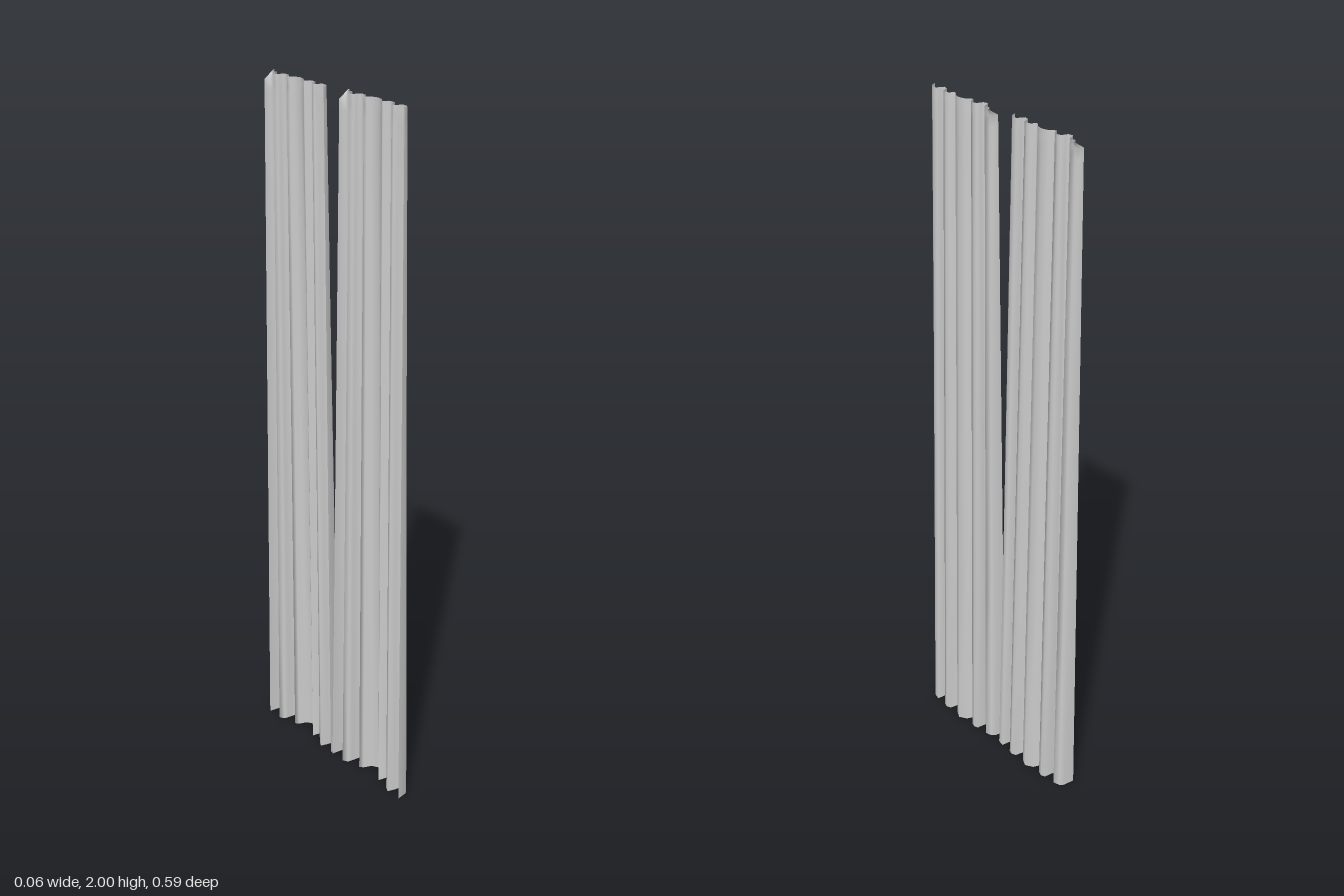
import * as THREE from 'three';

// Hem fold line of half a panel: [distance from panel centre, depth x]
const HALF = [
  [0, 0.03], [0.023, 0.017], [0.033, -0.006], [0.043, -0.014], [0.051, 0.02],
  [0.065, 0.025], [0.077, 0.021], [0.082, -0.007], [0.085, -0.022],
  [0.1, -0.03], [0.107, -0.01], [0.112, 0.019], [0.132, 0.014],
  [0.141, 0.003], [0.146, -0.03],
];
const FOLDS = [
  ...HALF.slice(1).reverse().map(([d, x]) => [-d, x]),
  ...HALF,
];

// Heights of the cross-sections, from hem to heading
const ROWS = [0, 0.5, 1, 1.5, 1.95, 1.98, 2];

function curtainGeometry() {
  const positions = [];
  const indices = [];
  const n = FOLDS.length;
  ROWS.forEach((y, r) => {
    const t = y / 2;
    const spread = THREE.MathUtils.lerp(1, 0.82, t); // gathered towards the top
    const depth = THREE.MathUtils.lerp(1, 0.4, t); // folds get shallower
    FOLDS.forEach(([d, x], i) => {
      // the back corner of the heading curls outwards
      const curl = y > 1.98 && i < 2 ? 0.03 - 0.012 * i : 0;
      positions.push(-0.026 - 0.004 * (1 - t) + (x + 0.03) * depth + curl, y, d * spread);
      if (r > 0 && i > 0) {
        const a = (r - 1) * n + i - 1, b = a + 1, c = a + n, e = c + 1;
        indices.push(a, c, b, b, c, e);
      }
    });
  });
  const geometry = new THREE.BufferGeometry();
  geometry.setAttribute('position', new THREE.Float32BufferAttribute(positions, 3));
  geometry.setIndex(indices);
  geometry.computeVertexNormals();
  return geometry;
}

export function createModel() {
  const group = new THREE.Group();
  group.name = 'curtains';
  const material = new THREE.MeshStandardMaterial({ color: 0xcccccc, side: THREE.DoubleSide });
  const geometry = curtainGeometry();

  // Two identical hanging panels side by side
  for (const [name, z] of [['frontCurtain', 0.149], ['backCurtain', -0.151]]) {
    const panel = new THREE.Mesh(geometry, material);
    panel.name = name;
    panel.position.z = z;
    group.add(panel);
  }
  return group;
}
